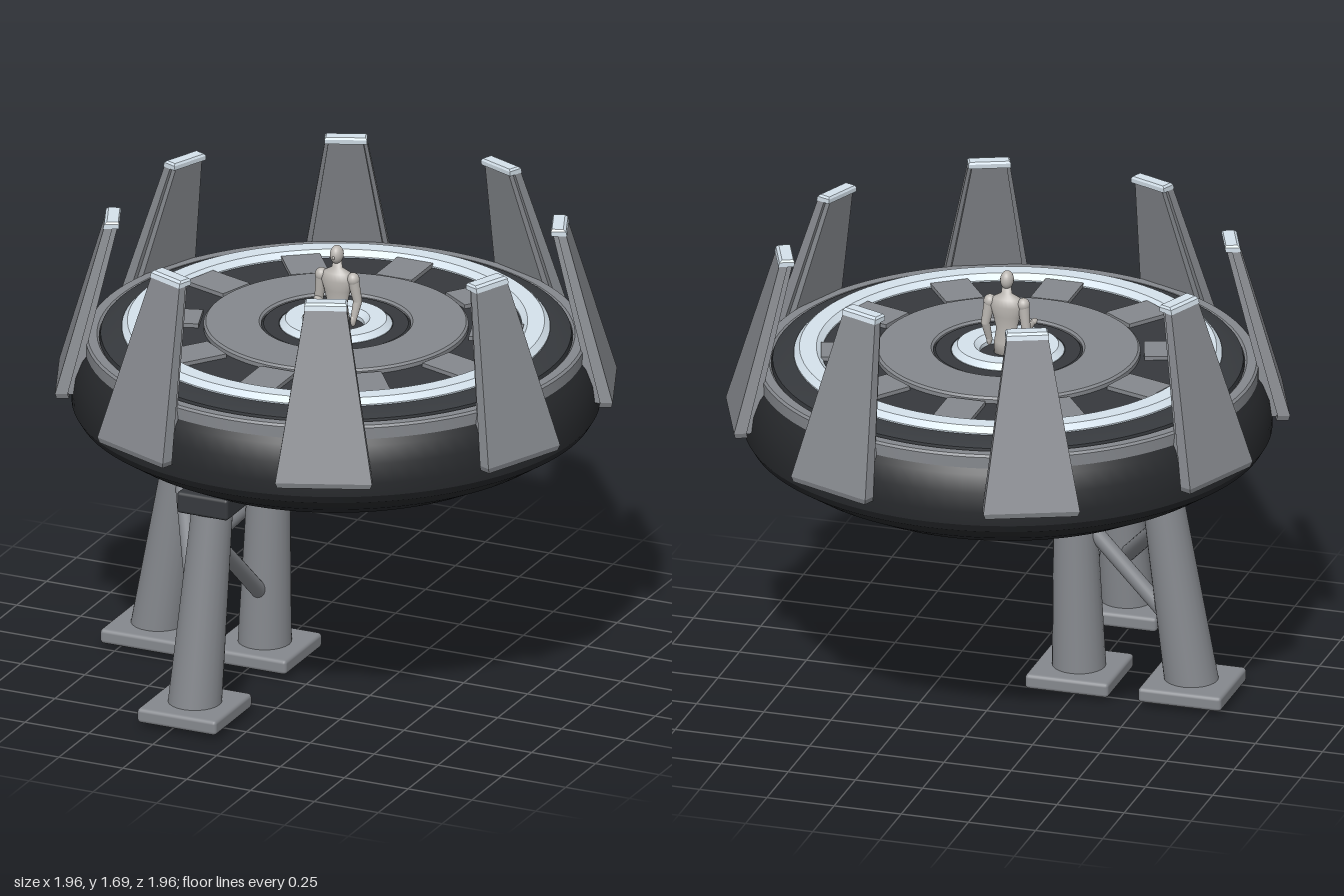
import * as THREE from 'three';
import { toCreasedNormals } from 'three/addons/utils/BufferGeometryUtils.js';
import { RoundedBoxGeometry } from 'three/addons/geometries/RoundedBoxGeometry.js';

const mat = (color) => new THREE.MeshStandardMaterial({ color });
const V = (x, y, z) => new THREE.Vector3(x, y, z);

export function createModel() {
  const model = new THREE.Group();
  const hullMat = mat(0x26282b), dark = mat(0x36393d), grey = mat(0x85888d);
  const light = mat(0xd5e2ec), skin = mat(0xbbb7b2);

  const add = (name, geo, material, parent = model) => {
    const mesh = new THREE.Mesh(geo, material);
    mesh.name = name;
    parent.add(mesh);
    return mesh;
  };
  // Turned part from [radius, height] pairs, lower outside first
  const turned = (name, pts, material) => add(name, toCreasedNormals(
    new THREE.LatheGeometry(pts.map(([r, y]) => new THREE.Vector2(r, y)), 96), 0.45), material);
  // Tapered round bar between two points
  const bar = (name, a, b, ra, rb, material, parent = model) => {
    const mesh = add(name, new THREE.CylinderGeometry(rb, ra, a.distanceTo(b), 24), material, parent);
    mesh.position.copy(a).lerp(b, 0.5);
    mesh.quaternion.setFromUnitVectors(V(0, 1, 0), b.clone().sub(a).normalize());
    return mesh;
  };
  const ball = (name, p, sx, sy, sz, material, parent) => {
    const mesh = add(name, new THREE.SphereGeometry(1, 20, 14), material, parent);
    mesh.position.copy(p);
    mesh.scale.set(sx, sy, sz);
    return mesh;
  };

  // Saucer hull and dark deck
  turned('hull', [[0, 0.8], [0.58, 0.8], [0.7, 0.845], [0.82, 0.905], [0.92, 0.97], [0.938, 1.0],
    [0.94, 1.05], [0.93, 1.12], [0.905, 1.18], [0.87, 1.225], [0.84, 1.235], [0, 1.235]], hullMat);
  turned('deck', [[0.84, 1.22], [0.835, 1.255], [0.78, 1.275], [0.66, 1.275], [0, 1.275]], dark);

  // Raised rings on the deck
  const ring = (name, r0, r1, y0, y1, material, bevel = 0.008) => turned(name, [
    [r0, y0], [r1, y0], [r1, y1 - bevel], [r1 - bevel, y1], [r0 + bevel, y1], [r0, y1 - bevel], [r0, y0],
  ], material);
  ring('outerTrimRing', 0.84, 0.89, 1.2, 1.25, grey);
  ring('outerLightRing', 0.66, 0.76, 1.27, 1.3, light, 0.02);
  ring('innerDisc', 0.265, 0.47, 1.27, 1.298, grey);
  ring('innerDarkRing', 0.195, 0.265, 1.27, 1.29, dark);
  ring('innerLightRing', 0.1, 0.2, 1.27, 1.31, light, 0.02);

  // Ten radial deck panels
  for (let i = 0; i < 10; i++) {
    const a = (i * Math.PI) / 5;
    const panel = add('deckPanel', new THREE.BoxGeometry(0.14, 0.02, 0.18), grey);
    panel.position.set(Math.sin(a) * 0.573, 1.28, Math.cos(a) * 0.573);
    panel.rotation.y = a;
  }

  // Tapered slab from rows of [height, inner radius, outer radius, half width]
  const slab = (rows) => {
    const n = rows.length - 1;
    const geo = new THREE.BoxGeometry(2, 1, 1, 1, n, 1);
    const p = geo.attributes.position;
    for (let i = 0; i < p.count; i++) {
      const [y, rIn, rOut, hw] = rows[Math.round((p.getY(i) + 0.5) * n)];
      p.setXYZ(i, p.getX(i) * hw, y, p.getZ(i) > 0 ? rOut : rIn);
    }
    return toCreasedNormals(geo, 0.3);
  };
  const plateGeo = slab([[1.05, 0.94, 0.985, 0.165], [1.07, 0.945, 0.99, 0.172], [1.67, 0.79, 0.82, 0.074]]);
  const spineGeo = slab([[1.06, 0.85, 0.95, 0.15], [1.12, 0.85, 0.94, 0.145],
    [1.25, 0.875, 0.91, 0.125], [1.67, 0.772, 0.8, 0.062]]);
  const capGeo = slab([[1.665, 0.768, 0.824, 0.076], [1.682, 0.766, 0.82, 0.076], [1.69, 0.77, 0.81, 0.07]]);

  // Eight fins around the rim
  for (let i = 0; i < 8; i++) {
    const fin = new THREE.Group();
    fin.name = 'fin';
    fin.rotation.y = ((i + 0.5) * Math.PI) / 4;
    add('finPlate', plateGeo, grey, fin);
    add('finSpine', spineGeo, grey, fin);
    add('finCap', capGeo, light, fin);
    model.add(fin);
  }

  // Three splayed legs with collars and square feet
  const legs = [
    [V(-0.655, 0.05, 0.095), V(-0.535, 0.82, 0.095)],
    [V(-0.215, 0.05, 0.725), V(-0.182, 0.84, 0.635)],
    [V(-0.235, 0.05, 0.095), V(-0.215, 0.82, 0.095)],
  ];
  legs.forEach(([foot, top], i) => {
    bar('leg', foot, top, 0.097, 0.072, grey);
    add('foot', new RoundedBoxGeometry(0.31, 0.055, 0.31, 2, 0.014), grey).position.set(foot.x, 0.046, foot.z);
    ball('footPad', V(foot.x, 0.024, foot.z), 0.09, 0.024, 0.09, grey);
    add('legCollar', new RoundedBoxGeometry(0.2, 0.08, 0.2, 2, 0.012), dark)
      .position.set(top.x, i === 1 ? 0.823 : 0.825, top.z);
  });
  // Each brace runs from high on one leg to low on the next
  legs.forEach(([foot, top], i) => {
    const [nextFoot, nextTop] = legs[(i + 1) % 3];
    const high = foot.clone().lerp(top, 0.8), low = nextFoot.clone().lerp(nextTop, 0.24);
    bar('brace', high, low, 0.029, 0.029, grey);
  });

  // Standing figure, seen from the hips up
  const figure = new THREE.Group();
  figure.name = 'figure';
  figure.position.set(0.005, 0, 0);
  model.add(figure);
  const torso = add('torso', new THREE.LatheGeometry([[0, 1.27], [0.046, 1.27], [0.046, 1.32], [0.038, 1.37],
    [0.05, 1.42], [0.062, 1.46], [0.05, 1.488], [0.02, 1.505], [0.017, 1.53], [0, 1.53]]
    .map(([r, y]) => new THREE.Vector2(r, y)), 24), skin, figure);
  torso.scale.z = 0.62;
  ball('head', V(0, 1.555, 0.004), 0.024, 0.034, 0.029, skin, figure);
  ball('nose', V(0, 1.55, 0.033), 0.005, 0.007, 0.006, skin, figure);
  const arm = (shoulder, elbow, hand) => {
    ball('shoulder', shoulder, 0.023, 0.025, 0.023, skin, figure);
    bar('upperArm', shoulder, elbow, 0.021, 0.016, skin, figure);
    ball('elbow', elbow, 0.016, 0.016, 0.016, skin, figure);
    bar('forearm', elbow, hand, 0.016, 0.011, skin, figure);
    return ball('hand', hand, 0.012, 0.012, 0.012, skin, figure);
  };
  arm(V(-0.062, 1.468, 0), V(-0.074, 1.375, -0.005), V(-0.062, 1.355, 0.1)).scale.set(0.012, 0.009, 0.03);
  const hand = figure.children[figure.children.length - 1];
  hand.position.z = 0.118;
  arm(V(0.062, 1.468, 0), V(0.077, 1.385, -0.006), V(0.068, 1.315, 0.012)).scale.set(0.01, 0.022, 0.013);

  return model;
}
